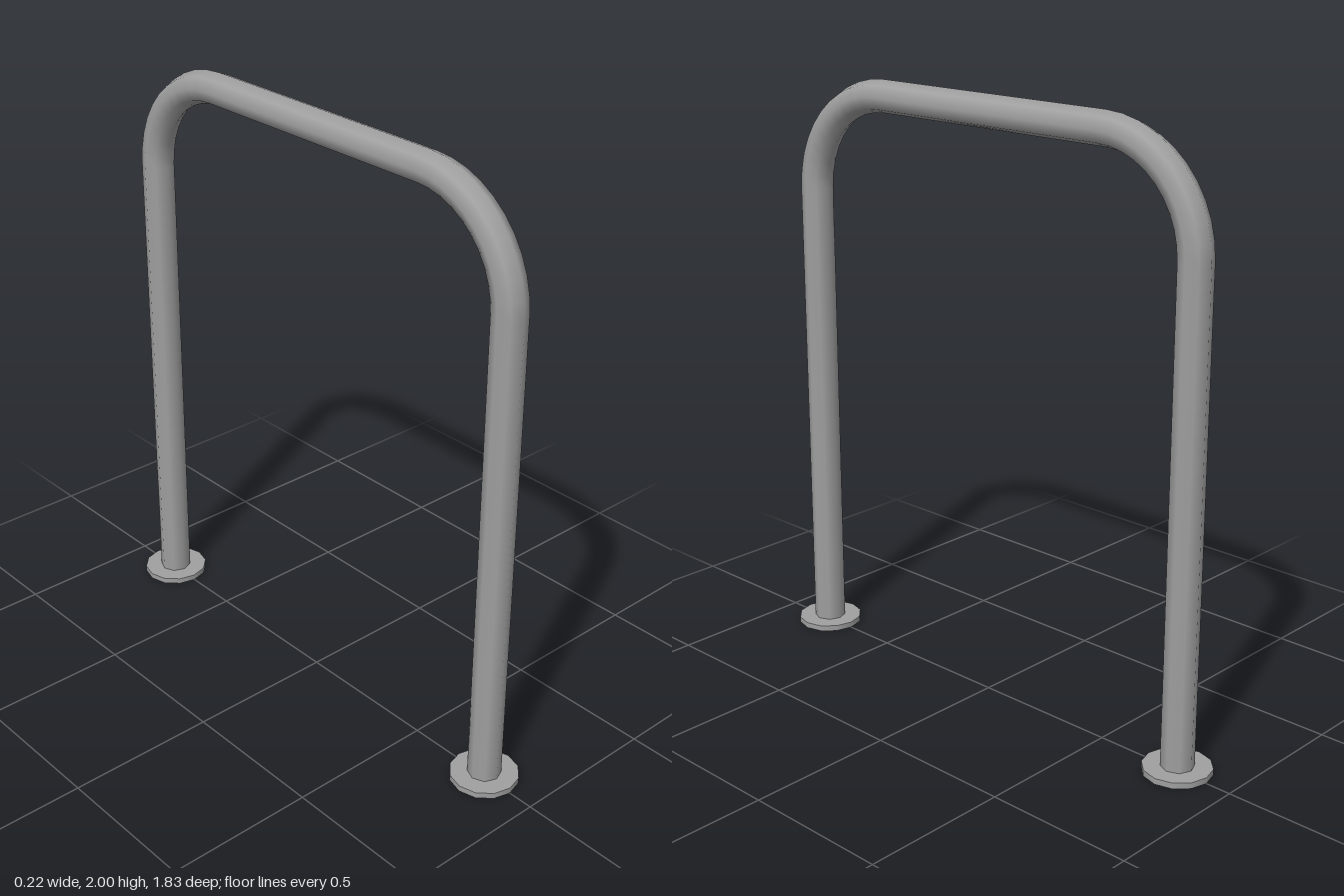
import * as THREE from 'three';

const TUBE = 0.054;   // pipe radius
const SIDES = 8;      // pipe cross-section
const BEND = 0.34;    // bend radius along the pipe centre
const LEG_Z = 0.802;  // leg centre
const TOP_Y = 2 - TUBE;
const PLATE_H = 0.02;

export function createModel() {
  const group = new THREE.Group();
  group.name = 'bikeStand';
  const steel = new THREE.MeshStandardMaterial({ color: 0xa0a0a0 });
  steel.name = 'grey steel';

  function add(name, geometry, y, z) {
    const mesh = new THREE.Mesh(geometry, steel);
    mesh.name = name;
    mesh.position.set(0, y, z);
    group.add(mesh);
    return mesh;
  }

  const bendY = TOP_Y - BEND;
  const bendZ = LEG_Z - BEND;

  // Front and back legs, each with a floor plate and a quarter bend
  for (const [side, s] of [['front', 1], ['back', -1]]) {
    const legH = bendY - PLATE_H;
    add(side + 'FloorPlate', new THREE.CylinderGeometry(0.112, 0.112, PLATE_H, 12), PLATE_H / 2, s * LEG_Z);
    add(side + 'Leg', new THREE.CylinderGeometry(TUBE, TUBE, legH, SIDES, 1, true), PLATE_H + legH / 2, s * LEG_Z);
    const bend = add(side + 'Bend', new THREE.TorusGeometry(BEND, TUBE, SIDES, 10, Math.PI / 2), bendY, s * bendZ);
    bend.rotation.y = -s * Math.PI / 2;
  }

  // Straight top rail between the bends
  const rail = new THREE.CylinderGeometry(TUBE, TUBE, bendZ * 2, SIDES, 1, true);
  rail.rotateX(Math.PI / 2);
  add('topRail', rail, TOP_Y, 0);

  return group;
}
